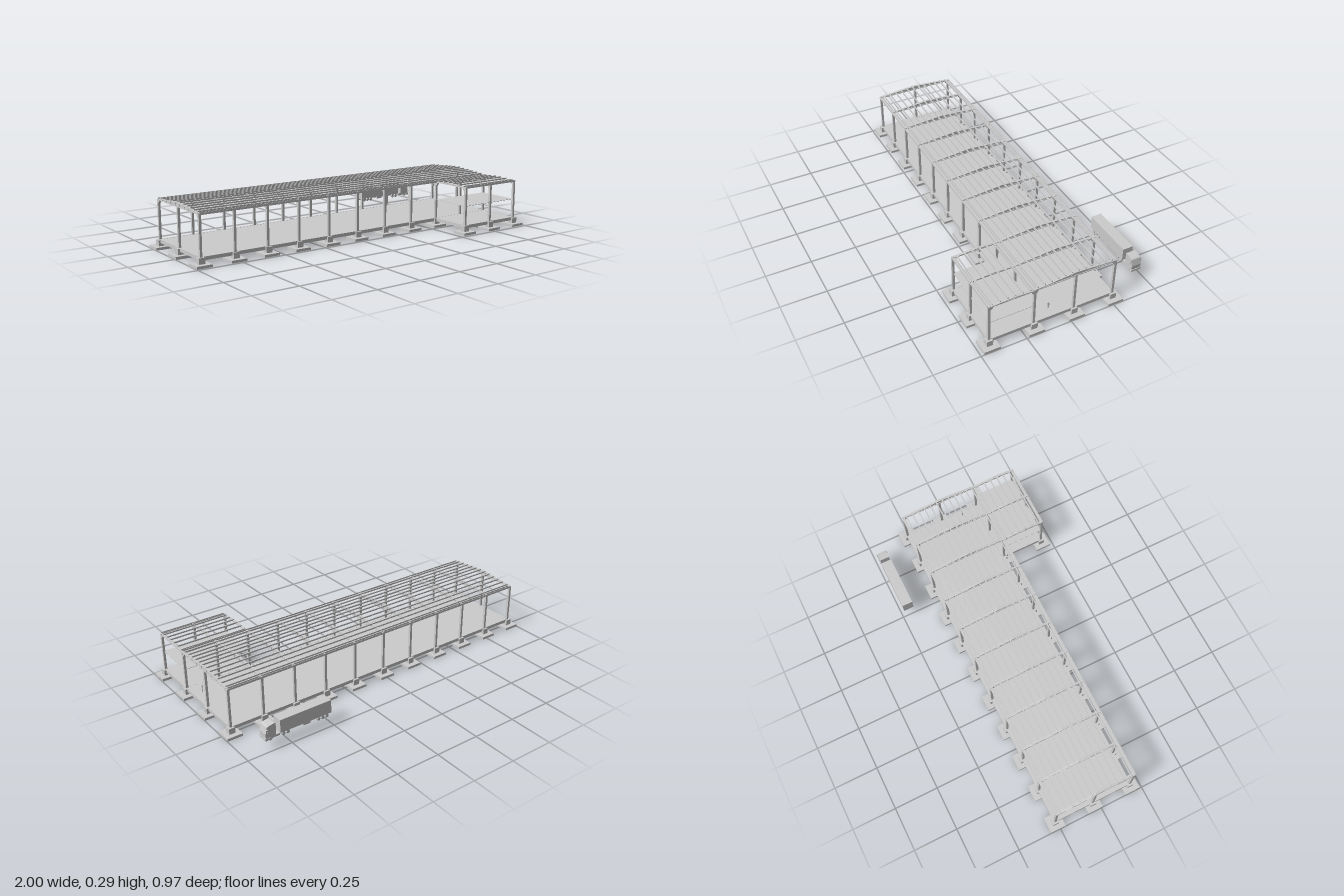
import * as THREE from 'three';

const mat = new THREE.MeshStandardMaterial({ color: 0xcccccc, flatShading: true, side: THREE.DoubleSide });
const smooth = new THREE.MeshStandardMaterial({ color: 0xcccccc });

// Plan lines
const BAY = 0.191, END = 0.955;
const FRONT = 0.193, BACK = -0.262, MID = -0.035, ANNEX = 0.438;
const FLOOR = 0.048;
const frameX = Array.from({ length: 11 }, (_, i) => -END + i * BAY);
const annexX = frameX.slice(8);

function add(parent, name, geo, x = 0, y = 0, z = 0, material = mat) {
  const m = new THREE.Mesh(geo, material);
  m.name = name;
  m.position.set(x, y, z);
  parent.add(m);
  return m;
}

// Box given by its extents on each axis
function slab(parent, name, x0, x1, y0, y1, z0, z1) {
  return add(parent, name, new THREE.BoxGeometry(x1 - x0, y1 - y0, z1 - z0),
    (x0 + x1) / 2, (y0 + y1) / 2, (z0 + z1) / 2);
}

// Outline of [z, y] points given a thickness along x
function sideProfile(points, width) {
  const g = new THREE.ExtrudeGeometry(new THREE.Shape(points.map(p => new THREE.Vector2(...p))),
    { depth: width, bevelEnabled: false });
  return g.translate(0, 0, -width / 2).rotateY(-Math.PI / 2);
}

function footing(parent, x, z) {
  const g = new THREE.Group();
  g.name = 'footing';
  parent.add(g);
  slab(g, 'pad', x - 0.044, x + 0.044, 0, 0.014, z - 0.044, z + 0.044);
  slab(g, 'pedestal', x - 0.017, x + 0.017, 0.014, 0.046, z - 0.017, z + 0.017);
}

// Column with sloped brackets towards the given z directions
function column(parent, x, z, top, brackets) {
  const g = new THREE.Group();
  g.name = 'column';
  parent.add(g);
  slab(g, 'shaft', x - 0.0065, x + 0.0065, 0.03, top, z - 0.0065, z + 0.0065);
  for (const s of brackets) {
    add(g, 'bracket', sideProfile([[0, 0.238], [s * 0.007, 0.24], [s * 0.018, 0.25], [s * 0.018, 0.258], [0, 0.258]], 0.012), x, 0, z);
  }
}

// Tapered roof beam with thin web, flanges and stiffeners
function roofBeam(parent, x, z0, z1, eave, ridge) {
  const g = new THREE.Group();
  g.name = 'roofBeam';
  g.position.x = x;
  parent.add(g);
  const mid = (z0 + z1) / 2, bottom = 0.258, t = 0.004;
  const topAt = z => ridge - (ridge - eave) * Math.abs(z - mid) / ((z1 - z0) / 2);
  add(g, 'web', sideProfile([[z0, bottom], [z1, bottom], [z1, eave], [mid, ridge], [z0, eave]], 0.005));
  add(g, 'topFlange', sideProfile([[z0, eave - t], [mid, ridge - t], [z1, eave - t], [z1, eave], [mid, ridge], [z0, eave]], 0.013));
  slab(g, 'bottomFlange', -0.0065, 0.0065, bottom, bottom + t, z0, z1);
  const n = Math.round((z1 - z0) / 0.05);
  for (let i = 1; i < n; i++) {
    const z = z0 + (z1 - z0) * i / n;
    slab(g, 'stiffener', -0.0055, 0.0055, bottom, topAt(z) - 0.001, z - 0.002, z + 0.002);
  }
}

// Purlins resting on both roof slopes
function purlins(parent, x0, x1, z0, z1, eave, ridge, count) {
  const mid = (z0 + z1) / 2, half = (z1 - z0) / 2;
  for (let i = 0; i < count; i++) {
    const z = z0 + (z1 - z0) * (i + 0.5) / count;
    const y = ridge - (ridge - eave) * Math.abs(z - mid) / half;
    slab(parent, 'purlin', x0, x1, y - 0.002, y + 0.006, z - 0.003, z + 0.003);
  }
}

// U-shaped eave gutter
function gutter(parent, x0, x1, z, w) {
  const h = w / 2, t = 0.002;
  const g = sideProfile([[-h, 0.257], [h, 0.257], [h, 0.268], [h - t, 0.268], [h - t, 0.26],
    [-h + t, 0.26], [-h + t, 0.268], [-h, 0.268]], x1 - x0);
  add(parent, 'gutter', g, (x0 + x1) / 2, 0, z);
}

function wheel(parent, x, z) {
  add(parent, 'wheel', new THREE.CylinderGeometry(0.0095, 0.0095, 0.009, 16).rotateX(Math.PI / 2), x, 0.0595, z);
}

function buildTruck() {
  const g = new THREE.Group();
  g.name = 'truck';
  const zc = -0.455;
  slab(g, 'trailer', 0.505, 0.805, 0.07, 0.143, zc - 0.03, zc + 0.03);
  slab(g, 'chassis', 0.515, 0.875, 0.062, 0.07, zc - 0.012, zc + 0.012);
  slab(g, 'sideSkirt', 0.63, 0.67, 0.057, 0.07, zc - 0.027, zc + 0.027);
  slab(g, 'fuelTank', 0.805, 0.835, 0.058, 0.07, zc - 0.026, zc + 0.026);
  // Cab with raked windscreen and roof fairing
  const cab = new THREE.Shape([[0.828, 0.06], [0.885, 0.056], [0.887, 0.09], [0.878, 0.128],
    [0.868, 0.133], [0.835, 0.139], [0.828, 0.137]].map(p => new THREE.Vector2(...p)));
  add(g, 'cab', new THREE.ExtrudeGeometry(cab, { depth: 0.054, bevelEnabled: false }), 0, 0, zc - 0.027);
  slab(g, 'bumper', 0.872, 0.889, 0.055, 0.067, zc - 0.029, zc + 0.029);
  for (const s of [-1, 1]) {
    slab(g, 'mirror', 0.876, 0.88, 0.1, 0.117, zc + s * 0.031 - 0.002, zc + s * 0.031 + 0.002);
    for (const x of [0.53, 0.555, 0.58, 0.76, 0.785, 0.86]) wheel(g, x, zc + s * 0.024);
  }
  return g;
}

function buildPerson() {
  const g = new THREE.Group();
  g.name = 'person';
  g.position.set(0.918, 0.058, 0.087);
  add(g, 'head', new THREE.SphereGeometry(0.0033, 12, 8), 0, 0.041, 0, smooth);
  add(g, 'torso', new THREE.CylinderGeometry(0.0048, 0.0038, 0.017, 10).scale(0.7, 1, 1), 0, 0.029, 0, smooth);
  for (const s of [-1, 1]) {
    add(g, 'leg', new THREE.CylinderGeometry(0.002, 0.0014, 0.022, 8), 0, 0.011, s * 0.0022, smooth);
    const arm = add(g, 'arm', new THREE.CylinderGeometry(0.0014, 0.001, 0.018, 8), 0, 0.028, s * 0.006, smooth);
    arm.rotation.x = -s * 0.15;
  }
  return g;
}

export function createModel() {
  const model = new THREE.Group();
  model.name = 'warehouseFrame';
  const group = name => {
    const g = new THREE.Group();
    g.name = name;
    model.add(g);
    return g;
  };
  const base = group('foundations'), columns = group('columns'), roof = group('roof');

  // Main hall frames
  for (const x of frameX) {
    const shared = x > annexX[0] - 0.01;
    footing(base, x, FRONT);
    footing(base, x, BACK);
    column(columns, x, FRONT, 0.264, shared ? [-1, 1] : [-1]);
    column(columns, x, BACK, 0.264, [1]);
    roofBeam(roof, x, BACK + 0.004, FRONT - 0.004, 0.266, 0.283);
  }
  // Gable posts
  for (const x of [-END, END]) {
    footing(base, x, MID);
    column(columns, x, MID, 0.26, []);
  }
  // Annex frames
  for (const x of annexX) {
    footing(base, x, ANNEX);
    column(columns, x, ANNEX, 0.264, [-1]);
    roofBeam(roof, x, FRONT + 0.004, ANNEX - 0.004, 0.262, 0.27);
  }
  purlins(roof, -END, END, BACK, FRONT, 0.266, 0.283, 12);
  purlins(roof, annexX[0], END, FRONT, ANNEX, 0.262, 0.27, 6);
  gutter(roof, -END, END, BACK, 0.016);
  gutter(roof, -END, END, FRONT, 0.02);
  gutter(roof, annexX[0], END, ANNEX, 0.016);

  // Ground beams around both floors
  const w = 0.006, ax = annexX[0];
  for (const z of [BACK, FRONT]) slab(base, 'groundBeam', -END, END, 0.03, FLOOR, z - w, z + w);
  slab(base, 'groundBeam', ax, END, 0.03, FLOOR, ANNEX - w, ANNEX + w);
  slab(base, 'groundBeam', -END - w, -END + w, 0.03, FLOOR, BACK, FRONT);
  slab(base, 'groundBeam', END - w, END + w, 0.03, FLOOR, BACK, ANNEX);
  slab(base, 'groundBeam', ax - w, ax + w, 0.03, FLOOR, FRONT, ANNEX);

  // Floors and annex mezzanine
  slab(model, 'hallFloor', -END, END, 0.044, 0.0475, BACK, FRONT);
  slab(model, 'annexFloor', ax, END, 0.044, 0.0475, FRONT, ANNEX);
  slab(model, 'mezzanine', ax, END, 0.154, 0.156, FRONT, ANNEX);

  model.add(buildTruck(), buildPerson());
  return model;
}
